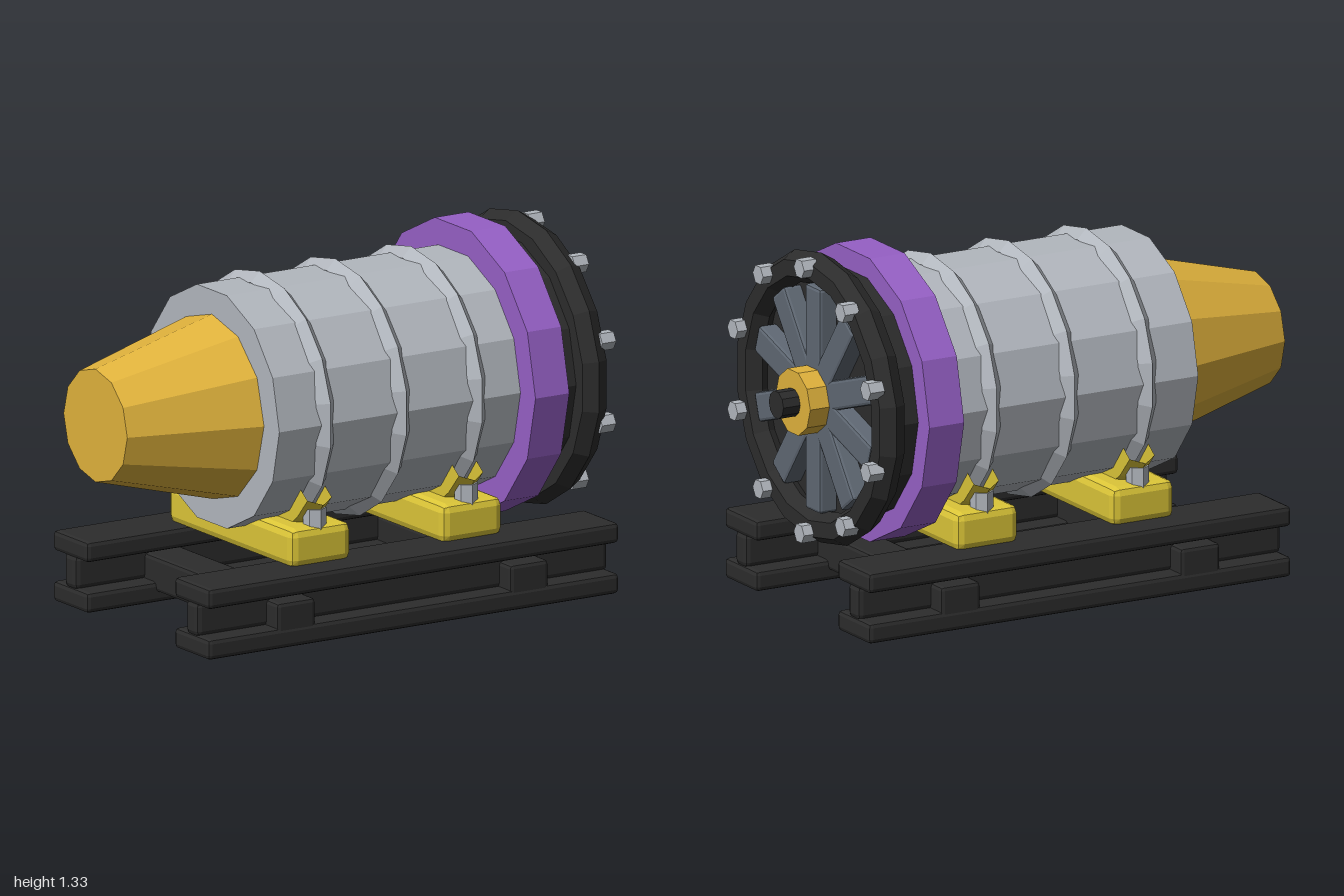
import * as THREE from 'three';
import { RoundedBoxGeometry } from 'three/addons/geometries/RoundedBoxGeometry.js';

const AXIS_Y = 0.785; // height of the engine's long axis

const paint = (name, color, extra = {}) => {
  const m = new THREE.MeshStandardMaterial({ color, ...extra });
  m.name = name;
  return m;
};

// Faceted normals for the low-poly look
function facet(geo) {
  const g = geo.index ? geo.toNonIndexed() : geo;
  g.computeVertexNormals();
  return g;
}

function add(parent, name, geo, mat, x = 0, y = 0, z = 0) {
  const mesh = new THREE.Mesh(facet(geo), mat);
  mesh.name = name;
  mesh.position.set(x, y, z);
  parent.add(mesh);
  return mesh;
}

// Cylinder or cone along x, from x0 to x1
function barrel(parent, name, mat, x0, x1, r0, r1, sides, y = 0, z = 0) {
  const geo = new THREE.CylinderGeometry(r1, r0, x1 - x0, sides).rotateZ(-Math.PI / 2);
  return add(parent, name, geo, mat, (x0 + x1) / 2, y, z);
}

// Ring around the x axis with a corner at the top
function ring(parent, name, mat, x, radius, tube, section, sides) {
  const geo = new THREE.TorusGeometry(radius, tube, section, sides)
    .rotateZ(Math.PI / 2).rotateY(Math.PI / 2);
  return add(parent, name, geo, mat, x);
}

// Chamfered box given by its limits
function block(parent, name, mat, [x0, x1], [y0, y1], [z0, z1], bevel) {
  const geo = new RoundedBoxGeometry(x1 - x0, y1 - y0, z1 - z0, 1, bevel);
  return add(parent, name, geo, mat, (x0 + x1) / 2, (y0 + y1) / 2, (z0 + z1) / 2);
}

export function createModel() {
  const model = new THREE.Group();
  model.name = 'engineOnSkid';

  const steel = paint('steel', 0xb2b7be);
  const gold = paint('gold', 0xe0b23c);
  const purple = paint('purple', 0x9660c6);
  const black = paint('black', 0x2c2c2c);
  const slate = paint('slate', 0x5f6873);
  const yellow = paint('yellow', 0xdcc638, { side: THREE.DoubleSide });

  // Engine body, centred on its own axis
  const engine = new THREE.Group();
  engine.name = 'engine';
  engine.position.y = AXIS_Y;
  model.add(engine);

  barrel(engine, 'exhaustCone', gold, -1, -0.5, 0.21, 0.343, 12);
  barrel(engine, 'casing', steel, -0.5, 0.54, 0.444, 0.444, 14);
  barrel(engine, 'collar', purple, 0.535, 0.68, 0.543, 0.543, 14);
  barrel(engine, 'intakeFlange', black, 0.68, 0.78, 0.464, 0.464, 14);
  ring(engine, 'intakeRing', black, 0.813, 0.482, 0.06, 6, 18);
  for (const x of [-0.295, 0.03, 0.355]) ring(engine, 'casingRib', steel, x, 0.436, 0.038, 4, 18);

  // Fan: blades, hub and shaft
  for (let i = 0; i < 10; i++) {
    const a = (i / 10) * Math.PI * 2;
    const pivot = new THREE.Group();
    pivot.name = 'fanBlade' + (i + 1);
    pivot.rotation.x = a;
    engine.add(pivot);
    block(pivot, 'blade', slate, [0.77, 0.85], [0.06, 0.42], [-0.054, 0.054], 0.012);

    // Hex bolts on the intake ring
    barrel(engine, 'ringBolt', steel, 0.845, 0.905, 0.037, 0.037, 6,
      Math.cos(a) * 0.495, Math.sin(a) * 0.495);
  }
  barrel(engine, 'hub', gold, 0.8, 0.93, 0.123, 0.123, 10);
  barrel(engine, 'shaft', black, 0.9, 1, 0.052, 0.052, 10);

  // Saddles: base block, strap under the casing and two bolts
  for (const x of [-0.295, 0.355]) {
    const saddle = new THREE.Group();
    saddle.name = 'saddle';
    model.add(saddle);
    block(saddle, 'saddleBase', yellow, [x - 0.13, x + 0.13], [0.255, 0.4], [-0.41, 0.41], 0.03);
    const arc = Math.PI * 0.6;
    const strap = new THREE.TorusGeometry(0.458, 0.06, 6, 9, arc)
      .rotateZ(-Math.PI / 2 - arc / 2).rotateY(Math.PI / 2);
    add(saddle, 'strap', strap, yellow, x, AXIS_Y);
    for (const s of [-1, 1]) {
      add(saddle, 'saddleBolt', new THREE.CylinderGeometry(0.042, 0.042, 0.08, 6),
        steel, x, 0.42, s * 0.362);
    }
  }

  // Skid: two rails of stacked planks joined by cross beams
  const skid = new THREE.Group();
  skid.name = 'skid';
  model.add(skid);
  const length = [-0.85, 0.915];
  for (const s of [-1, 1]) {
    const span = (a, b) => (s > 0 ? [a, b] : [-b, -a]);
    block(skid, 'lowerPlank', black, length, [0, 0.077], span(0.285, 0.515), 0.017);
    block(skid, 'railWeb', black, length, [0.07, 0.2], span(0.36, 0.44), 0.02);
    block(skid, 'upperPlank', black, length, [0.188, 0.265], span(0.285, 0.515), 0.017);
  }
  for (const x of [-0.47, 0.53]) {
    block(skid, 'crossBeam', black, [x - 0.083, x + 0.083], [0.04, 0.17], [-0.512, 0.512], 0.015);
  }

  return model;
}
